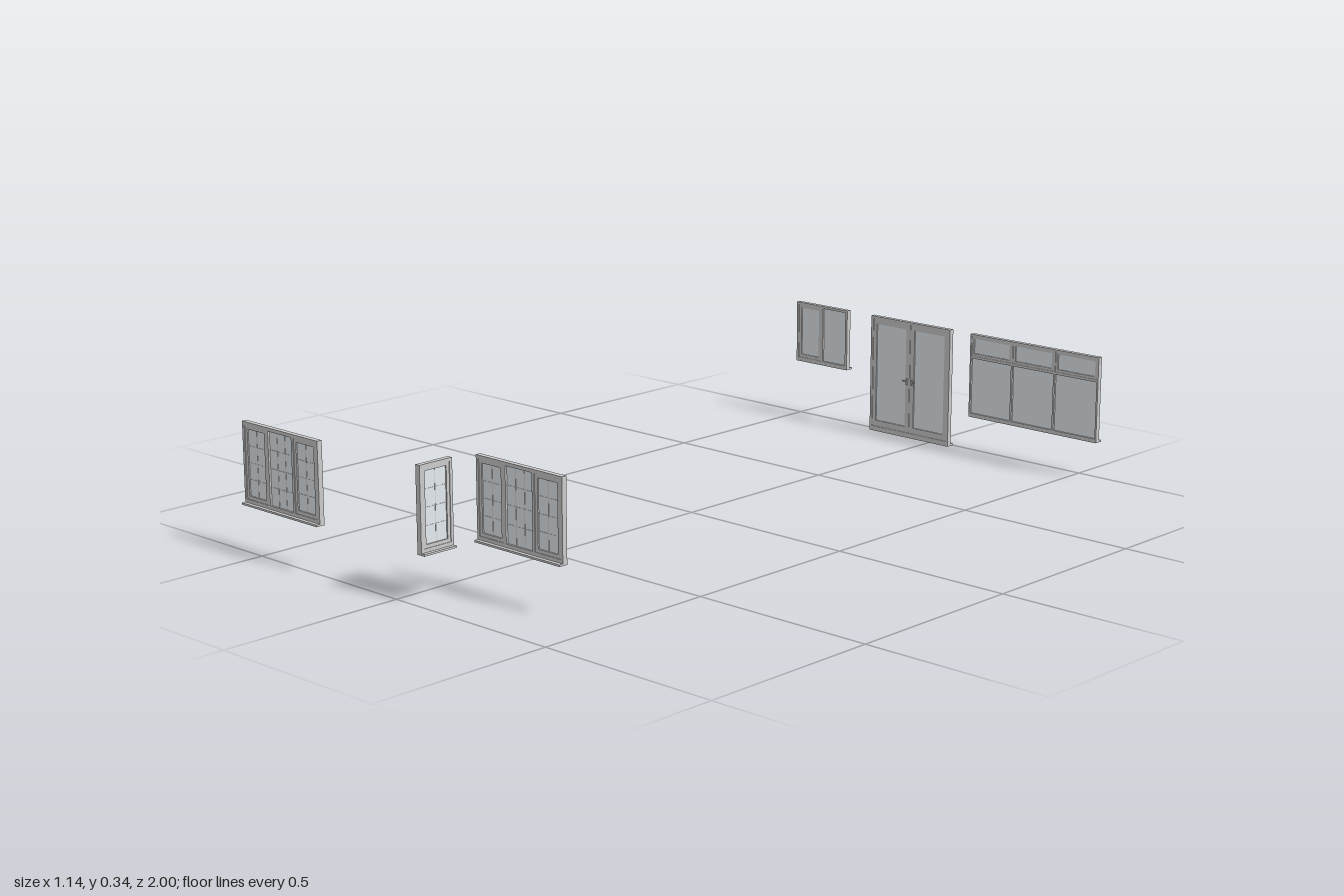
import * as THREE from 'three';

const grey = new THREE.MeshStandardMaterial({ color: 0xcccccc });
const glassMat = new THREE.MeshStandardMaterial({ color: 0xe4eaf0 });
const DEPTH = 0.014;

function box(parent, name, x0, x1, y0, y1, z0, z1, mat = grey) {
  const m = new THREE.Mesh(new THREE.BoxGeometry(x1 - x0, y1 - y0, z1 - z0), mat);
  m.position.set((x0 + x1) / 2, (y0 + y1) / 2, (z0 + z1) / 2);
  m.name = name;
  parent.add(m);
  return m;
}

// Rectangular ring with a list of rectangular openings, centred in depth
function ring(parent, name, [x0, x1, y0, y1], holes, depth) {
  const rect = (P, a, b, c, d) => {
    const p = new P();
    p.moveTo(a, c); p.lineTo(b, c); p.lineTo(b, d); p.lineTo(a, d); p.closePath();
    return p;
  };
  const shape = rect(THREE.Shape, x0, x1, y0, y1);
  holes.forEach(h => shape.holes.push(rect(THREE.Path, ...h)));
  const geo = new THREE.ExtrudeGeometry(shape, { depth, bevelEnabled: false });
  geo.translate(0, 0, -depth / 2);
  const m = new THREE.Mesh(geo, grey);
  m.name = name;
  parent.add(m);
}

// One opening: optional sash, glass pane, optional glazing bars
function pane(parent, [x0, x1, y0, y1], { sash = 0, cols = 1, rows = 1 } = {}) {
  const g = [x0 + sash, x1 - sash, y0 + sash, y1 - sash];
  if (sash) ring(parent, 'sash', [x0, x1, y0, y1], [g], DEPTH * 0.75);
  box(parent, 'glass', ...g, -0.002, 0.002, glassMat);
  const t = 0.0007, d = 0.0026;
  for (let i = 1; i < cols; i++) {
    const x = g[0] + (g[1] - g[0]) * i / cols;
    box(parent, 'verticalGlazingBar', x - t, x + t, g[2], g[3], -d, d);
  }
  for (let i = 1; i < rows; i++) {
    const y = g[2] + (g[3] - g[2]) * i / rows;
    box(parent, 'horizontalGlazingBar', g[0], g[1], y - t, y + t, -d, d);
  }
}

// Outer frame, its panes and a sill; the outside faces local +z
function unit(name, w, h, panes, sillHeight = 0.005) {
  const g = new THREE.Group();
  g.name = name;
  ring(g, 'frame', [-w / 2, w / 2, sillHeight, h], panes.map(p => p.rect), DEPTH);
  panes.forEach(p => pane(g, p.rect, p));
  box(g, 'sill', -w / 2, w / 2, 0, sillHeight, -DEPTH / 2, DEPTH / 2 + 0.01);
  return g;
}

// Three lights: barred opening sashes either side of a fixed centre
function tripleWindow(name) {
  const y0 = 0.014, y1 = 0.201, side = { sash: 0.009, cols: 2, rows: 4 };
  return unit(name, 0.286, 0.21, [
    { rect: [-0.135, -0.052, y0, y1], ...side },
    { rect: [-0.044, 0.044, y0, y1], cols: 3, rows: 4 },
    { rect: [0.052, 0.135, y0, y1], ...side },
  ]);
}

// Wide window: three fixed panes under three small top sashes
function wideWindow() {
  const panes = [];
  for (const c of [-0.142, 0, 0.142]) {
    panes.push({ rect: [c - 0.068, c + 0.068, 0.011, 0.167] });
    panes.push({ rect: [c - 0.068, c + 0.068, 0.174, 0.23], sash: 0.007 });
  }
  return unit('wideWindow', 0.43, 0.235, panes);
}

function doubleDoor() {
  const g = new THREE.Group();
  g.name = 'doubleDoor';
  ring(g, 'doorFrame', [-0.142, 0.142, 0.006, 0.335], [[-0.134, 0.134, 0.014, 0.328]], DEPTH);
  box(g, 'threshold', -0.142, 0.142, 0, 0.006, -DEPTH / 2, DEPTH / 2 + 0.01);
  for (const s of [-1, 1]) {
    const leaf = new THREE.Group();
    leaf.name = s < 0 ? 'leftLeaf' : 'rightLeaf';
    const [a, b] = s < 0 ? [-0.134, -0.0005] : [0.0005, 0.134];
    const opening = s < 0 ? [-0.122, -0.015, 0.031, 0.313] : [0.015, 0.122, 0.031, 0.313];
    ring(leaf, 'leafFrame', [a, b, 0.014, 0.328], [opening], DEPTH * 0.75);
    pane(leaf, opening);
    // Lever handles on both faces
    for (const f of [-1, 1]) {
      const x = s * 0.009, z = f * 0.0085;
      const spindle = new THREE.Mesh(new THREE.CylinderGeometry(0.0015, 0.0015, 0.009, 10), grey);
      spindle.rotation.x = Math.PI / 2;
      spindle.position.set(x, 0.165, z);
      spindle.name = 'handleSpindle';
      leaf.add(spindle);
      const lever = box(leaf, 'handleLever', x - 0.007, x + 0.007, 0.1637, 0.1663, z - 0.001, z + 0.001);
      lever.position.x += s * 0.006;
      lever.position.z = f * 0.012;
      box(leaf, 'handlePlate', x - 0.0025, x + 0.0025, 0.154, 0.172,
        z - 0.0035 * (f > 0 ? 1 : 0) - 0.001, z + 0.0035 * (f < 0 ? 1 : 0) + 0.001);
    }
    g.add(leaf);
  }
  return g;
}

export function createModel() {
  const model = new THREE.Group();
  model.name = 'windowsAndDoor';
  const place = (o, x, y, z, turn = 0) => {
    o.position.set(x, y, z);
    o.rotation.y = turn;
    model.add(o);
  };

  // Front wall
  place(tripleWindow('frontRightWindow'), -0.427, 0.117, 0.983);
  place(tripleWindow('frontLeftWindow'), 0.238, 0.123, 0.822);
  // Narrow window in the return wall, facing the left side
  place(unit('narrowSideWindow', 0.1, 0.216, [
    { rect: [-0.042, 0.042, 0.014, 0.208], sash: 0.009, cols: 2, rows: 4 },
  ]), 0.064, 0.116, 0.931, Math.PI / 2);

  // Back wall, facing the rear
  place(unit('smallWindow', 0.191, 0.175, [
    { rect: [-0.088, -0.004, 0.012, 0.168] },
    { rect: [0.004, 0.088, 0.012, 0.168], sash: 0.009 },
  ]), -0.402, 0.16, -0.983, Math.PI);
  place(doubleDoor(), -0.075, 0, -0.983, Math.PI);
  place(wideWindow(), 0.353, 0.1, -0.983, Math.PI);
  return model;
}
